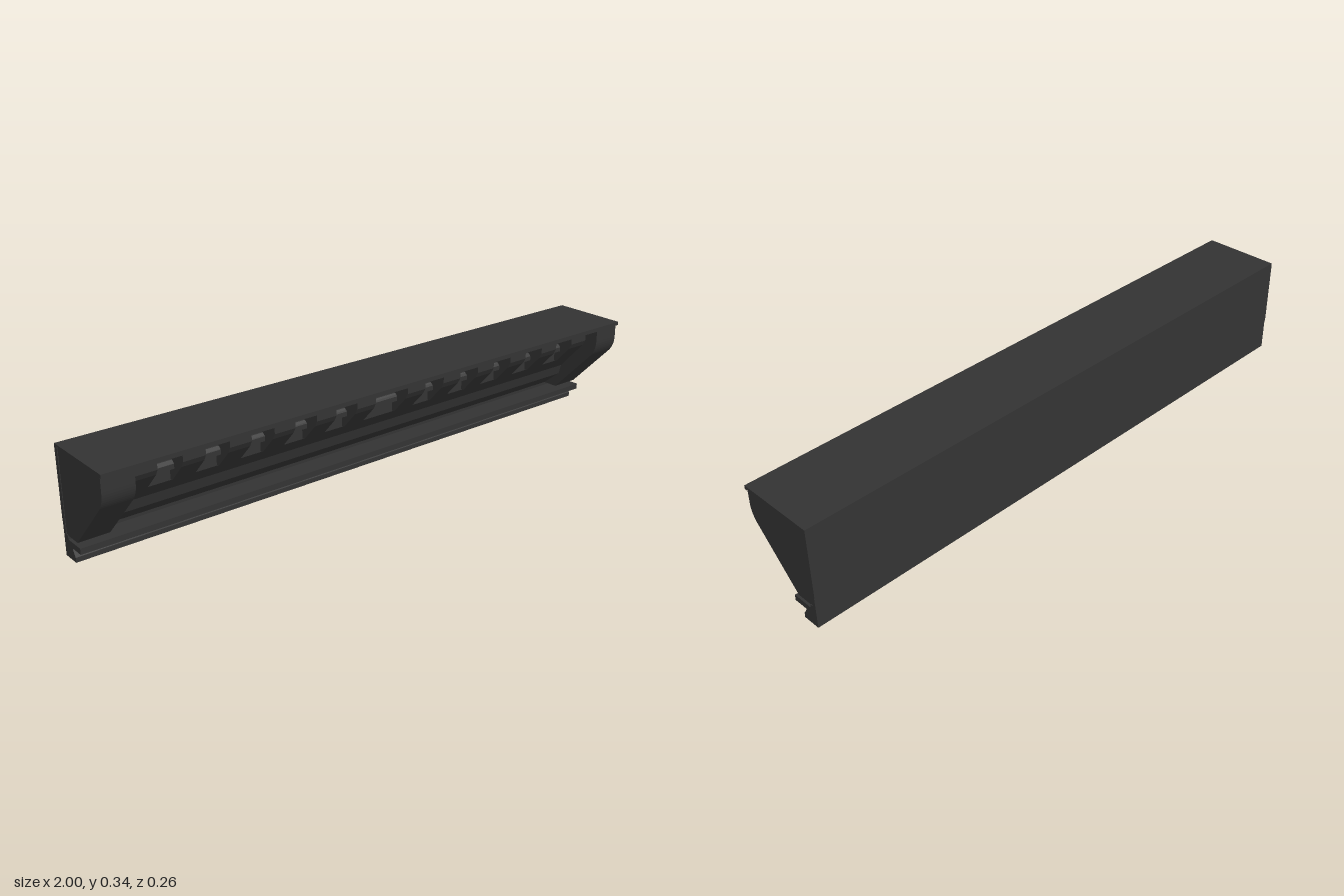
import * as THREE from 'three';

const material = new THREE.MeshStandardMaterial({ color: 0x333333, flatShading: true });

// Extrudes a side profile, given as [z, y] points or a Shape, from x0 to x1.
function sweep(name, profile, x0, x1) {
  const shape = Array.isArray(profile)
    ? new THREE.Shape(profile.map(([z, y]) => new THREE.Vector2(z, y)))
    : profile;
  const geometry = new THREE.ExtrudeGeometry(shape, { depth: x1 - x0, bevelEnabled: false, curveSegments: 8 });
  geometry.rotateY(-Math.PI / 2).translate(x1, 0, 0);
  const mesh = new THREE.Mesh(geometry, material);
  mesh.name = name;
  return mesh;
}

export function createModel() {
  const model = new THREE.Group();
  model.name = 'wallRail';

  // Top cover with a short front lip, running into the back plate
  model.add(sweep('coverAndBackPlate', [
    [-0.13, 0.337], [-0.13, 0.107], [-0.128, 0.105], [-0.128, 0.04], [-0.115, 0.04],
    [-0.115, 0.332], [0.123, 0.332], [0.123, 0.325], [0.132, 0.325], [0.132, 0.337],
  ], -1, 1));

  // Lower rail: ledge, undercut groove and foot
  model.add(sweep('lowerRail', [
    [-0.128, 0], [-0.07, 0], [-0.07, 0.015], [-0.083, 0.015], [-0.083, 0.039],
    [-0.035, 0.039], [-0.035, 0.058], [-0.105, 0.058], [-0.105, 0.07], [-0.128, 0.07],
  ], -1, 1));

  // Slanted retaining strip inside the groove
  model.add(sweep('grooveStrip', [[-0.084, 0.015], [-0.07, 0.015], [-0.084, 0.039]], -1, 1));

  // End brackets with a rounded front shoulder
  const bracket = new THREE.Shape();
  bracket.moveTo(-0.116, 0.068);
  bracket.lineTo(-0.052, 0.068);
  bracket.lineTo(0.1, 0.224);
  bracket.quadraticCurveTo(0.123, 0.248, 0.123, 0.282);
  bracket.lineTo(0.123, 0.333);
  bracket.lineTo(-0.116, 0.333);
  bracket.closePath();
  model.add(sweep('rightBracket', bracket, -0.998, -0.9));
  model.add(sweep('leftBracket', bracket, 0.9, 0.998));

  // Stepped inner body between the brackets
  model.add(sweep('innerBody', [
    [-0.116, 0.068], [-0.105, 0.068], [-0.04, 0.12], [-0.03, 0.155], [0.01, 0.2],
    [0.01, 0.325], [-0.116, 0.325],
  ], -0.9, 0.9));

  // Cross bar behind the teeth
  model.add(sweep('crossBar', [[0.005, 0.243], [0.035, 0.243], [0.035, 0.258], [0.025, 0.267], [0.005, 0.267]], -0.9, 0.9));

  // Inner lip above the teeth
  model.add(sweep('upperLip', [[0.07, 0.318], [0.122, 0.318], [0.122, 0.333], [0.07, 0.333]], -0.9, 0.9));

  // Two mirrored runs of six sloped teeth
  const teeth = new THREE.Group();
  teeth.name = 'teeth';
  const tooth = [[0.005, 0.203], [0.02, 0.203], [0.075, 0.262], [0.085, 0.28], [0.085, 0.32], [0.005, 0.32]];
  for (const side of [-1, 1]) {
    for (let i = 0; i < 6; i++) {
      const x = side * (0.1 + i * 0.15);
      teeth.add(sweep('tooth', tooth, x - 0.036, x + 0.036));
    }
  }
  model.add(teeth);
  return model;
}
